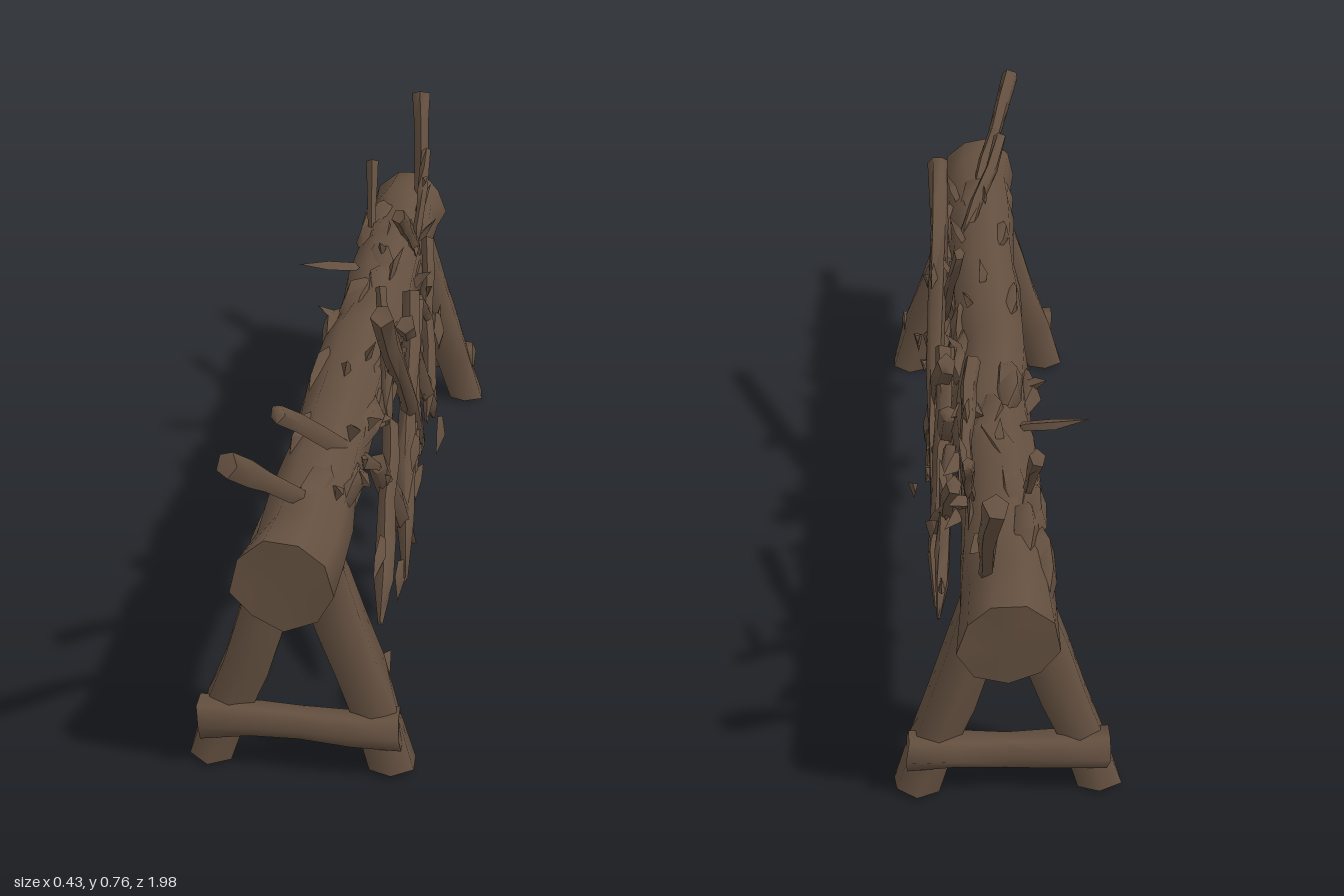
import * as THREE from 'three';
import { toCreasedNormals } from 'three/addons/utils/BufferGeometryUtils.js';

const V = (x, y, z) => new THREE.Vector3(x, y, z);
const UP = V(0, 1, 0);

export function createModel() {
  const model = new THREE.Group();
  model.name = 'logBarrier';
  const bark = new THREE.MeshStandardMaterial({ color: 0x645040 });
  bark.name = 'bark brown';

  let seed = 7;
  const rand = () => {
    seed = (seed * 16807) % 2147483647;
    return seed / 2147483647;
  };
  const range = (a, b) => a + (b - a) * rand();

  // Position-based noise, so that shared corners stay joined
  const noise = (x, y, z, k) => {
    const s = Math.sin(Math.round(x * 1e3) * 12.9898 + Math.round(y * 1e3) * 7.233
      + Math.round(z * 1e3) * 3.719 + k * 5.31) * 43758.5453;
    return (s - Math.floor(s)) * 2 - 1;
  };

  // Rough tapering limb between two points; profile(t) scales its radius, skew slants its lower end
  function limb(name, a, b, r, { sides = 6, rings = 4, rough = 0.1, flat = 1, skew = 0, crease = 1.25, profile = () => 1, parent = model } = {}) {
    const dir = b.clone().sub(a);
    const len = dir.length();
    const geo = new THREE.CylinderGeometry(r, r, len, sides, rings);
    const p = geo.attributes.position;
    const k = Math.round(rand() * 1000);
    for (let i = 0; i < p.count; i++) {
      const x = p.getX(i), y = p.getY(i), z = p.getZ(i);
      const t = y / len + 0.5;
      const s = profile(t) * (1 + rough * noise(x, y, z, k));
      const bend = rough * r * noise(0, y, 0, k);
      const slant = t < 0.01 ? skew * x : 0;
      p.setXYZ(i, x * s * flat + bend, y + slant + rough * r * noise(x, y, z, k + 9), z * s + bend);
    }
    const mesh = new THREE.Mesh(toCreasedNormals(geo, crease), bark);
    mesh.name = name;
    mesh.quaternion.setFromUnitVectors(UP, dir.normalize());
    mesh.position.copy(a).add(b).multiplyScalar(0.5);
    parent.add(mesh);
    return mesh;
  }

  // Three-sided splinter with a broad middle and sharp tip
  function splinter(name, a, b, r) {
    return limb(name, a, b, r, {
      sides: 3, rings: 2, rough: 0.25, flat: 0.5, crease: 0.8,
      profile: t => (t < 0.1 ? 0.6 : t > 0.9 ? 0.03 : 1),
    });
  }

  // Main log
  limb('log', V(0, 0.468, -0.972), V(0, 0.474, 0.942), 0.086, {
    sides: 9, rings: 16, rough: 0.075, crease: 1.4,
    profile: t => 0.93 + 0.1 * Math.pow(Math.abs(2 * t - 1), 4),
  });

  // Low, broad strips of bark wrapped round the log
  for (let i = 0; i < 22; i++) {
    const z = -0.78 + i * 0.073;
    const ang = range(-1.2, 3.3);
    const slip = range(-0.7, 0.7);
    const at = (q, zz) => V(Math.cos(q) * 0.062, 0.472 + Math.sin(q) * 0.058, zz);
    limb('barkStrip', at(ang, z - 0.12), at(ang + slip, z + 0.12), 0.029, {
      sides: 5, rings: 3, rough: 0.22, profile: t => 0.25 + 0.9 * Math.sin(Math.PI * t),
    });
  }

  // A-frame trestles
  for (const [name, z, f] of [['frontTrestle', 0.788, 1], ['backTrestle', -0.808, -1]]) {
    const frame = new THREE.Group();
    frame.name = name;
    model.add(frame);
    for (const s of [-1, 1]) {
      limb('leg', V(s * 0.175, 0.012, z), V(s * 0.036, 0.42, z - f * 0.012), 0.046, {
        parent: frame, rough: 0.08, flat: 1.08, skew: -s * 0.26, profile: t => 0.92 + 0.14 * t,
      });
    }
    limb('crossbar', V(-0.188, 0.109, z + f * 0.026), V(0.188, 0.111, z + f * 0.024), 0.035, {
      parent: frame, profile: t => 0.92 + 0.2 * Math.abs(2 * t - 1),
    });
  }

  // Crossed branches on the left side: [x, y, z] of bottom and top, radius
  const branches = [
    [[0.125, 0.2, -0.16], [0.097, 0.76, 0.395], 0.028],
    [[0.13, 0.1, 0.1], [0.09, 0.42, 0.37], 0.027],
    [[0.095, 0.41, 0.36], [-0.055, 0.685, 0.69], 0.02],
    [[0.125, 0.19, 0.58], [0.1, 0.44, 0.22], 0.025],
    [[0.1, 0.42, 0.25], [0.06, 0.68, 0.09], 0.017],
    [[0.135, 0.1, 0.27], [0.095, 0.56, -0.17], 0.026],
    [[0.125, 0.17, 0.02], [0.09, 0.5, -0.27], 0.023],
    [[0.13, 0.135, -0.42], [0.09, 0.54, -0.06], 0.028],
    [[0.125, 0.2, -0.27], [0.09, 0.53, -0.57], 0.023],
    [[0.12, 0.26, -0.62], [0.09, 0.47, -0.34], 0.02],
    [[0.07, 0.5, -0.56], [0.05, 0.67, -0.34], 0.02],
    [[0.06, 0.5, -0.58], [0.07, 0.69, -0.74], 0.015],
  ];
  for (const [a, b, r] of branches) {
    const A = V(...a), B = V(...b);
    limb('branch', A, B, r, {
      sides: 5, rings: 5, rough: 0.2, flat: 0.85,
      profile: t => (t < 0.05 ? 0.25 : 0.9),
    });
    // Thorns growing from each branch
    for (const t of [0.2, 0.7]) {
      const o = A.clone().lerp(B, t);
      const run = (rand() < 0.5 ? -1 : 1) * range(0.05, 0.1);
      splinter('thorn', o, o.clone().add(V(range(-0.01, 0.02), range(-0.03, 0.05), run)), 0.016);
    }
  }

  // Upright broken branches at both ends of the log, widening to the tip
  const stub = { sides: 5, rings: 4, rough: 0.15, flat: 0.85, profile: t => 0.6 + 0.5 * t };
  limb('frontStub', V(0.0, 0.53, 0.72), V(-0.09, 0.725, 0.97), 0.023, stub);
  limb('backStub', V(0.045, 0.5, -0.83), V(0.03, 0.755, -0.975), 0.024, stub);
  limb('sideStub', V(-0.045, 0.5, -0.58), V(-0.058, 0.67, -0.7), 0.016, stub);

  // Splinters sticking out of the log
  for (let i = 0; i < 20; i++) {
    const z = -0.74 + i * 0.073;
    const ang = range(-0.8, 1.6);
    const reach = range(0.09, 0.125);
    const c = Math.cos(ang), s = Math.sin(ang);
    splinter('splinter', V(c * 0.06, 0.47 + s * 0.06, z),
      V(c * reach, 0.47 + s * reach, z + range(-0.11, 0.11)), 0.021);
  }
  splinter('leftSpike', V(-0.05, 0.53, -0.37), V(-0.178, 0.535, -0.36), 0.024);
  splinter('leftSpike', V(-0.06, 0.5, -0.15), V(-0.11, 0.52, -0.17), 0.02);

  // Loose leaf-like chips at the branch ends
  const chips = [[0.165, 0.235, -0.13], [0.15, 0.385, 0.25], [0.14, 0.1, 0.62],
    [0.13, 0.1, 0.28], [0.12, 0.35, 0.61], [0.13, 0.35, -0.44], [0.13, 0.19, 0.01]];
  for (const [x, y, z] of chips) {
    splinter('chip', V(x, y + 0.025, z - 0.035), V(x, y - 0.025, z + 0.035), 0.023);
  }
  return model;
}
